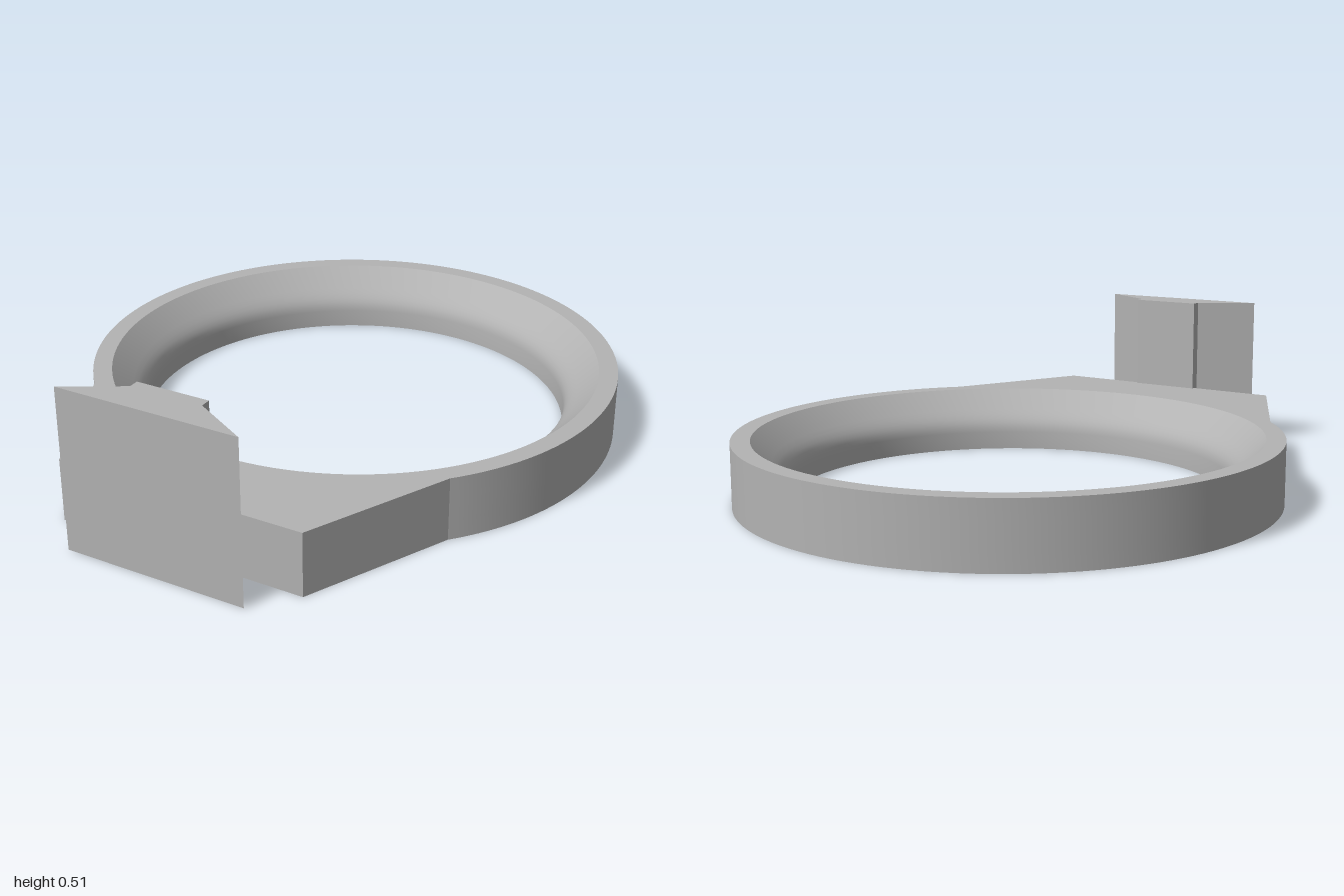
import * as THREE from 'three';
import { toCreasedNormals } from 'three/addons/utils/BufferGeometryUtils.js';

const OUTER = 0.85, RIM = 0.79, CENTRE_Z = -0.15;
// bore profile from bottom to top: [height, radius]
const BORE = [[0, 0.685], [0.06, 0.685], [0.077, 0.687], [0.092, 0.692],
  [0.106, 0.7], [0.12, 0.711], [0.135, 0.725], [0.2, RIM]];

// extrude a plan drawn in (x, -z) straight up
function extrudeUp(shape, depth, steps = 1) {
  const geo = new THREE.ExtrudeGeometry(shape, { depth, steps, bevelEnabled: false });
  return geo.rotateX(-Math.PI / 2);
}

function ringGeometry() {
  // round outline that runs into a tapered block at the front
  const join = 0.76, n = 128;
  const outline = [new THREE.Vector2(-0.4, -0.88), new THREE.Vector2(0.4, -0.88)];
  for (let i = 0; i <= n; i++) {
    const a = -join + (Math.PI + 2 * join) * i / n;
    outline.push(new THREE.Vector2(Math.cos(a) * OUTER, Math.sin(a) * OUTER - CENTRE_Z));
  }
  const shape = new THREE.Shape(outline);
  const hole = [];
  for (let i = 0; i < n; i++) {
    const a = -i / n * Math.PI * 2;
    hole.push(new THREE.Vector2(Math.cos(a) * RIM, Math.sin(a) * RIM - CENTRE_Z));
  }
  shape.holes.push(new THREE.Path(hole));

  // move each layer to its profile height, and the bore to its profile radius
  const steps = BORE.length - 1;
  const geo = extrudeUp(shape, 0.2, steps);
  const p = geo.attributes.position;
  for (let i = 0; i < p.count; i++) {
    const [y, r] = BORE[Math.round(p.getY(i) / 0.2 * steps)];
    const x = p.getX(i), z = p.getZ(i) - CENTRE_Z;
    const d = Math.hypot(x, z);
    const k = d < RIM + 0.01 ? r / d : 1;
    p.setXYZ(i, x * k, y, z * k + CENTRE_Z);
  }
  return toCreasedNormals(geo, 0.25);
}

function dovetailGeometry() {
  const half = [[0.29, -1], [0.115, -0.9], [0.115, -0.868]];
  const points = [...half, ...half.map(([x, y]) => [-x, y]).reverse()];
  return extrudeUp(new THREE.Shape(points.map(([x, y]) => new THREE.Vector2(x, y))), 0.51);
}

export function createModel() {
  const grey = new THREE.MeshStandardMaterial({ color: 0xb3b3b3 });
  grey.name = 'grey';
  const model = new THREE.Group();
  model.name = 'ringHolder';
  const add = (name, geo) => {
    const mesh = new THREE.Mesh(geo, grey);
    mesh.name = name;
    model.add(mesh);
  };
  add('ring', ringGeometry());
  add('dovetailMount', dovetailGeometry());
  return model;
}
